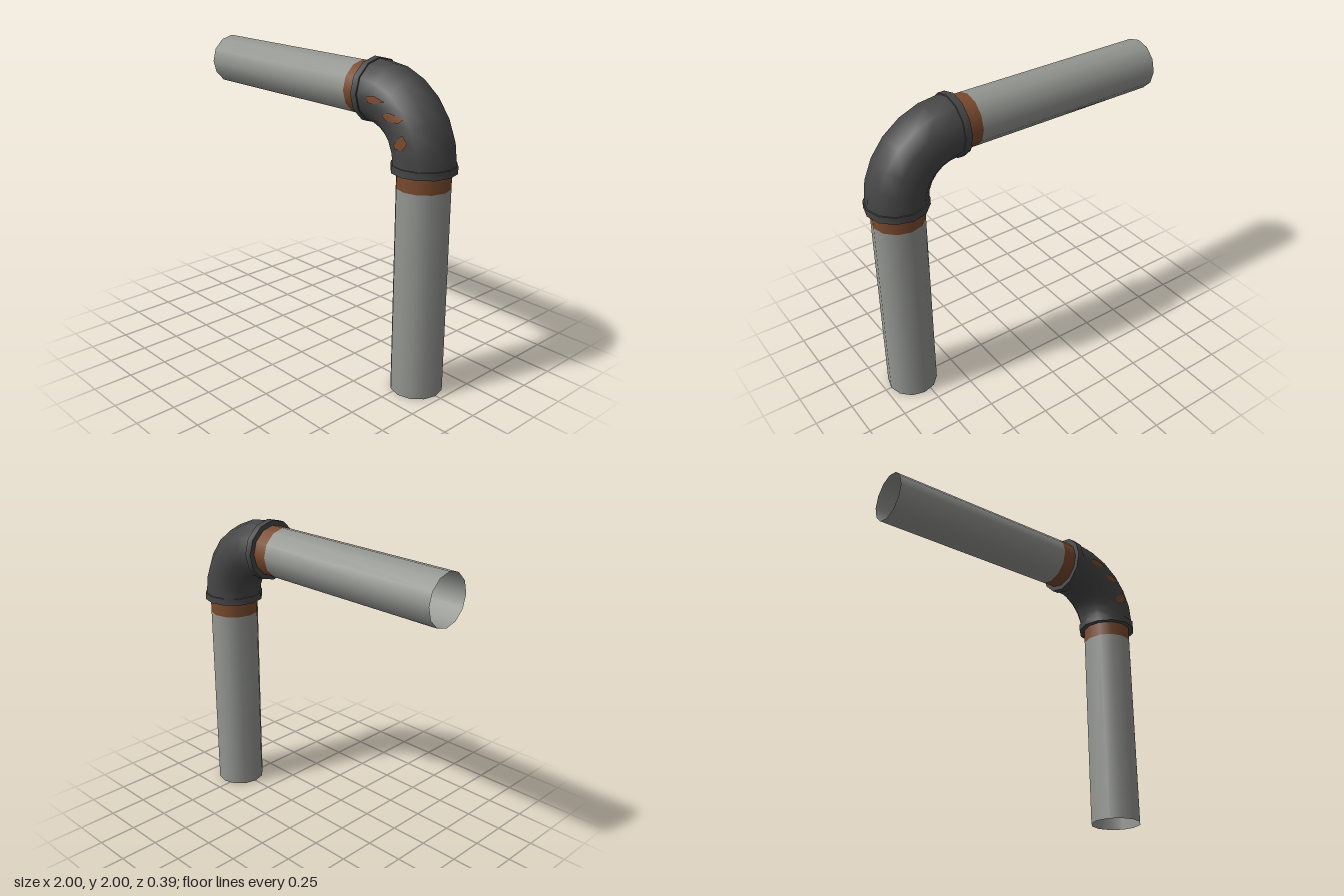
import * as THREE from 'three';
import { toCreasedNormals } from 'three/addons/utils/BufferGeometryUtils.js';

const SIDES = 12, PIPE_R = 0.162, BODY_R = 0.187, COLLAR_R = 0.195, BEND_R = 0.37;
const BEND = { x: 0.43, y: 1.435 };

function material(name, color) {
  const m = new THREE.MeshStandardMaterial({ color, side: THREE.DoubleSide });
  m.name = name;
  return m;
}

function add(parent, name, geometry, mat, y = 0) {
  const mesh = new THREE.Mesh(geometry, mat);
  mesh.name = name;
  mesh.position.y = y;
  parent.add(mesh);
  return mesh;
}

const tube = (length) => new THREE.CylinderGeometry(PIPE_R, PIPE_R, length, SIDES, 1, true);

// Flat-ended ring with a hole the size of the pipe
function ring(height) {
  const profile = [[PIPE_R, 0], [COLLAR_R, 0], [COLLAR_R, height], [PIPE_R, height], [PIPE_R, 0]];
  const points = profile.map(([x, y]) => new THREE.Vector2(x, y));
  return toCreasedNormals(new THREE.LatheGeometry(points, SIDES), 0.8);
}

// Irregular patch laid on the front of the bend, as a fan around its middle
function patch(outline) {
  const n = outline.length;
  const mid = [0, 1].map((i) => outline.reduce((sum, p) => sum + p[i], 0) / n);
  const lift = ([x, y]) => {
    const off = Math.hypot(x - BEND.x, y - BEND.y) - BEND_R;
    return [x, y, Math.sqrt(BODY_R ** 2 - off ** 2) + 0.003];
  };
  const geometry = new THREE.BufferGeometry();
  geometry.setAttribute('position', new THREE.Float32BufferAttribute([mid, ...outline].flatMap(lift), 3));
  const index = [];
  for (let i = 0; i < n; i++) index.push(0, 1 + ((i + 1) % n), 1 + i);
  geometry.setIndex(index);
  geometry.computeVertexNormals();
  return geometry;
}

export function createModel() {
  const model = new THREE.Group();
  model.name = 'pipeElbow';
  const steel = material('greySteel', 0x949691);
  const iron = material('darkIron', 0x464646);
  const rust = material('rust', 0x7a4a2e);

  // Two identical arms: collar, rusty band and open pipe, hanging down from the fitting
  function arm(name, x, y, turn) {
    const group = new THREE.Group();
    group.name = name;
    add(group, 'collar', ring(0.045), iron, -0.045);
    add(group, 'rustBand', tube(0.12), rust, -0.08);
    add(group, 'pipe', tube(1.3), steel, -0.79);
    group.position.set(x, y, 0);
    group.rotation.z = turn;
    model.add(group);
  }
  arm('verticalArm', 0.8, 1.44, 0);
  arm('horizontalArm', 0.435, 1.805, -Math.PI / 2);

  // Quarter-turn bend
  const bend = add(model, 'bend', new THREE.TorusGeometry(BEND_R, BODY_R, SIDES, 6, Math.PI / 2), iron);
  bend.position.set(BEND.x, BEND.y, 0);

  // Rust patches, corners listed clockwise
  const patches = [
    [[0.52, 1.81], [0.57, 1.82], [0.65, 1.796], [0.575, 1.77], [0.525, 1.775]],
    [[0.64, 1.72], [0.69, 1.743], [0.79, 1.72], [0.757, 1.694], [0.67, 1.694]],
    [[0.77, 1.61], [0.794, 1.635], [0.83, 1.59], [0.8, 1.55], [0.745, 1.545], [0.73, 1.567]],
  ];
  patches.forEach((outline) => add(model, 'rustPatch', patch(outline), rust));

  return model;
}
